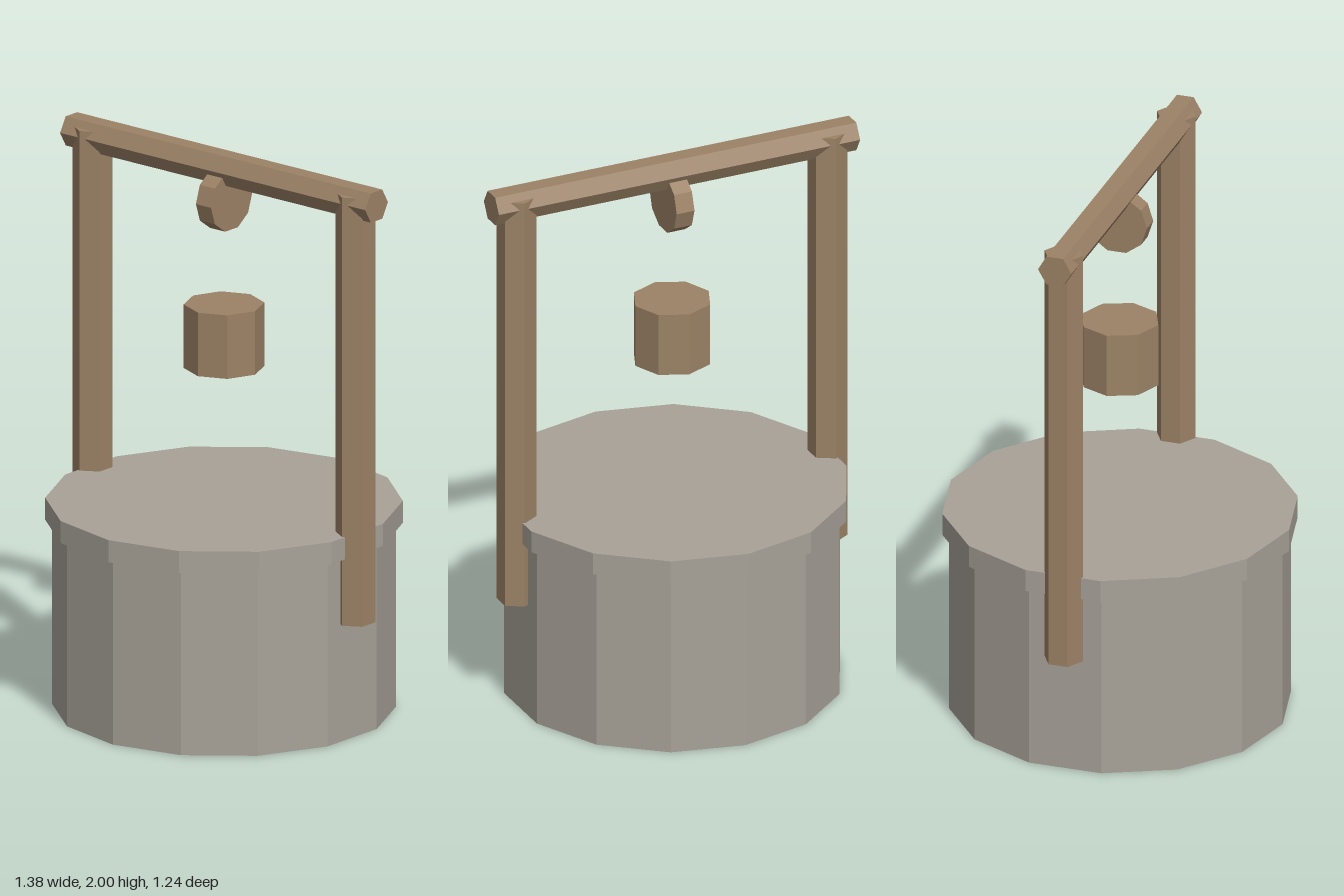
import * as THREE from 'three';

const stone = new THREE.MeshStandardMaterial({ color: 0xa8a298, flatShading: true });
const wood = new THREE.MeshStandardMaterial({ color: 0x9c8266, flatShading: true });

// Faceted prism centred at (x, y, 0); lies along x when sideways
function prism(name, radius, length, sides, material, x, y, sideways = false) {
  const geometry = new THREE.CylinderGeometry(radius, radius, length, sides);
  if (sideways) geometry.rotateZ(Math.PI / 2);
  const mesh = new THREE.Mesh(geometry, material);
  mesh.name = name;
  mesh.position.set(x, y, 0);
  return mesh;
}

export function createModel() {
  const well = new THREE.Group();
  well.name = 'well';

  // Stone wall and its wider rim
  well.add(prism('wall', 0.594, 0.69, 14, stone, 0, 0.345));
  well.add(prism('rim', 0.618, 0.08, 14, stone, 0, 0.706));

  // Posts at either side, carrying the crossbeam
  for (const [name, side] of [['leftPost', 1], ['rightPost', -1]]) {
    well.add(prism(name, 0.07, 1.55, 6, wood, side * 0.594, 1.2));
  }
  well.add(prism('crossbeam', 0.061, 1.38, 6, wood, 0, 1.947, true));

  // Pulley under the beam and the bucket hanging below
  well.add(prism('pulley', 0.11, 0.068, 10, wood, 0, 1.834, true));
  well.add(prism('bucket', 0.14, 0.23, 8, wood, 0, 1.34));

  return well;
}
